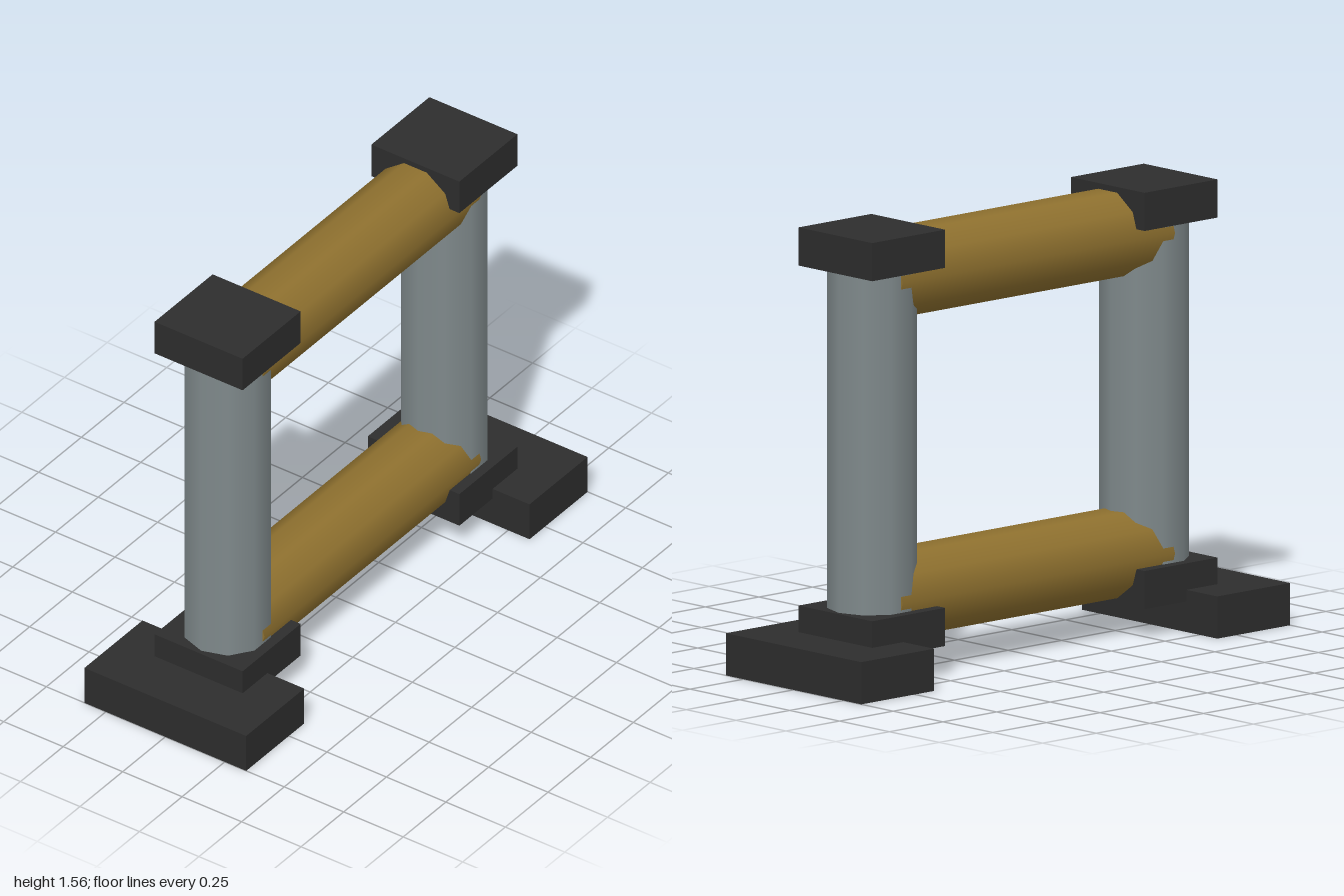
import * as THREE from 'three';

export function createModel() {
  const model = new THREE.Group();
  const mat = (name, color) => {
    const m = new THREE.MeshStandardMaterial({ color });
    m.name = name;
    return m;
  };
  const steel = mat('grey steel', 0x7f898b);
  const brass = mat('dull brass', 0x8f712f);
  const black = mat('black rubber', 0x2d2d2d);

  const add = (name, geometry, material, y, z) => {
    const mesh = new THREE.Mesh(geometry, material);
    mesh.name = name;
    mesh.position.set(0, y, z);
    model.add(mesh);
  };

  const R = 0.155, SIDES = 10, POST_Z = 0.635;
  const LOW_Y = 0.272, HIGH_Y = 1.39;

  // Upright posts, corner blocks and wide feet at both ends
  const post = new THREE.CylinderGeometry(R, R, 1.32, SIDES);
  const block = new THREE.BoxGeometry(0.37, 0.133, 0.34);
  const foot = new THREE.BoxGeometry(0.68, 0.147, 0.34);
  for (const [end, s] of [['front', 1], ['back', -1]]) {
    add(end + 'Post', post, steel, 0.83, s * POST_Z);
    add(end + 'TopBlock', block, black, 1.491, s * POST_Z);
    add(end + 'BottomBlock', block, black, 0.173, s * POST_Z);
    add(end + 'Foot', foot, black, 0.0735, s * 0.83);
  }

  // Horizontal beams running between the post centres
  const beam = new THREE.CylinderGeometry(R, R, 2 * POST_Z, SIDES, 1, false, Math.PI / 2);
  beam.rotateX(Math.PI / 2);
  add('bottomBeam', beam, brass, LOW_Y, 0);
  add('topBeam', beam, brass, HIGH_Y, 0);

  return model;
}
